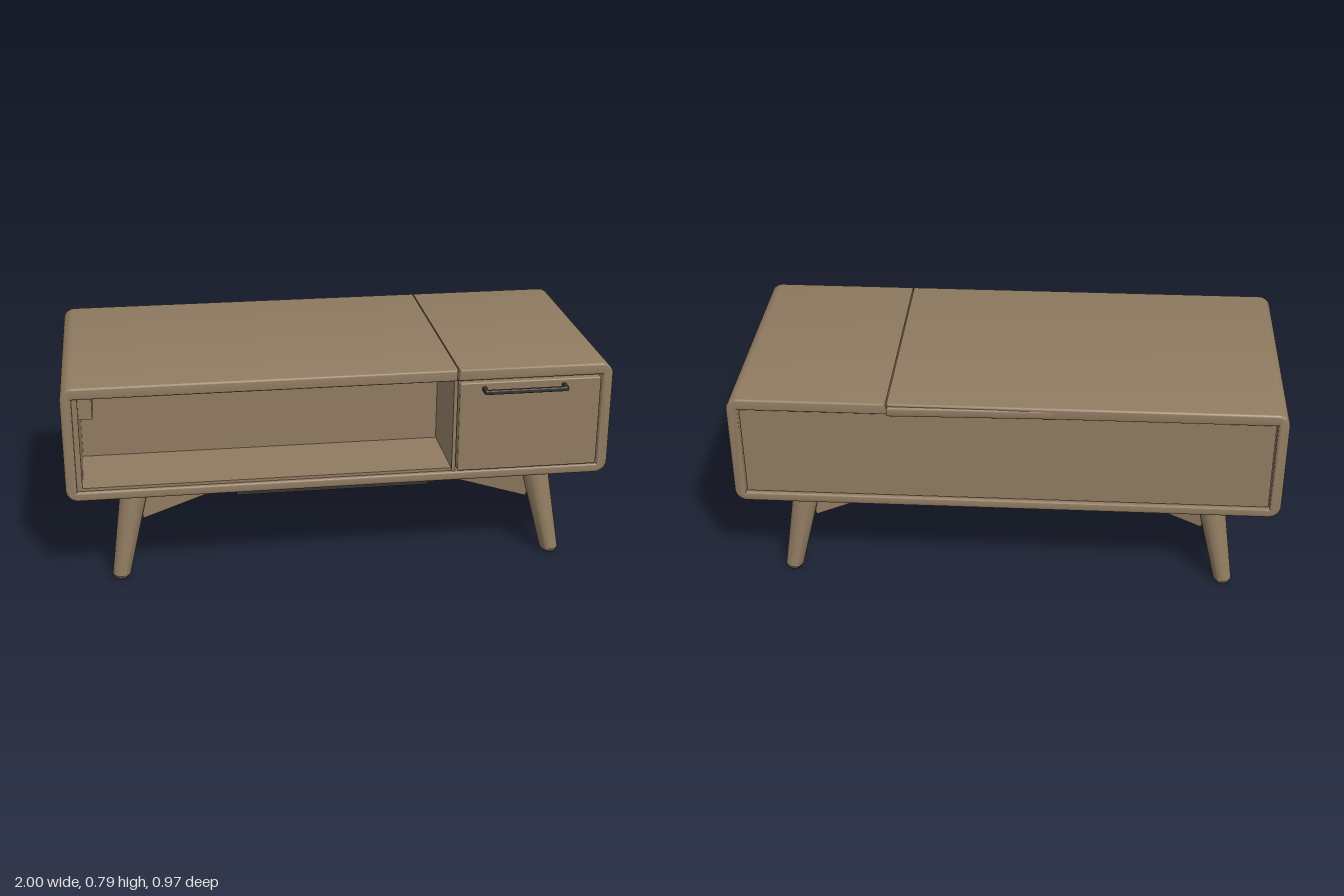
import * as THREE from 'three';
import { toCreasedNormals } from 'three/addons/utils/BufferGeometryUtils.js';
import { RoundedBoxGeometry } from 'three/addons/geometries/RoundedBoxGeometry.js';

const wood = new THREE.MeshStandardMaterial({ name: 'walnut wood', color: 0x8f7a60 });
const metal = new THREE.MeshStandardMaterial({ name: 'dark metal', color: 0x36342e });

export function createModel() {
  const table = new THREE.Group();
  table.name = 'coffeeTable';

  const add = (name, geometry, material = wood) => {
    const mesh = new THREE.Mesh(geometry, material);
    mesh.name = name;
    table.add(mesh);
    return mesh;
  };
  // Box given by its limits on each axis
  const box = (name, [x0, x1], [y0, y1], [z0, z1], material = wood, r = 0) => {
    const size = [x1 - x0, y1 - y0, z1 - z0];
    const geometry = r ? new RoundedBoxGeometry(...size, 2, r) : new THREE.BoxGeometry(...size);
    const mesh = add(name, geometry, material);
    mesh.position.set((x0 + x1) / 2, (y0 + y1) / 2, (z0 + z1) / 2);
    return mesh;
  };

  // Cabinet shell: a rounded ring, slit at the seam in the top
  const seam = 0.424, gap = 0.002, R = 0.045, top = 0.785, low = 0.35;
  const ring = new THREE.Shape();
  ring.moveTo(seam - gap, top);
  ring.lineTo(-1 + R, top);
  ring.absarc(-1 + R, top - R, R, Math.PI / 2, Math.PI, false);
  ring.absarc(-1 + R, low + R, R, Math.PI, Math.PI * 1.5, false);
  ring.absarc(1 - R, low + R, R, Math.PI * 1.5, Math.PI * 2, false);
  ring.absarc(1 - R, top - R, R, 0, Math.PI / 2, false);
  ring.lineTo(seam + gap, top);
  ring.lineTo(seam + gap, 0.741);
  ring.lineTo(0.96, 0.741);
  ring.lineTo(0.96, 0.384);
  ring.lineTo(-0.96, 0.384);
  ring.lineTo(-0.96, 0.741);
  ring.lineTo(seam - gap, 0.741);
  ring.closePath();
  const bevel = 0.008;
  const shell = new THREE.ExtrudeGeometry(ring, {
    depth: 0.905 - 2 * bevel, curveSegments: 8, bevelEnabled: true,
    bevelThickness: bevel, bevelSize: bevel, bevelOffset: -bevel, bevelSegments: 3,
  });
  shell.translate(0, 0, -0.475 + bevel);
  add('cabinetShell', toCreasedNormals(shell, 0.6));

  // Panels inside the shell
  box('backPanel', [-0.955, 0.955], [0.388, 0.738], [-0.462, -0.445]);
  box('shelfBack', [-0.96, 0.424], [0.384, 0.741], [0.11, 0.125]);
  box('shelfSide', [-0.962, -0.94], [0.384, 0.741], [-0.445, 0.415]);
  box('shelfFloor', [-0.94, 0.41], [0.38, 0.395], [-0.445, 0.415]);
  box('divider', [0.41, 0.424], [0.384, 0.743], [-0.445, 0.42]);
  box('liftBlock', [-0.94, -0.89], [0.655, 0.741], [0.22, 0.4]);

  // Lid edge slightly out of line at the back
  const wedge = new THREE.Shape([
    new THREE.Vector2(-0.16, 0.45), new THREE.Vector2(0.422, 0.45),
    new THREE.Vector2(0.422, 0.479), new THREE.Vector2(-0.16, 0.467),
  ]);
  const lidEdge = new THREE.ExtrudeGeometry(wedge, {
    depth: 0.02, bevelEnabled: true, bevelThickness: 0.008, bevelSize: 0.008, bevelSegments: 3,
  });
  lidEdge.rotateX(-Math.PI / 2);
  lidEdge.translate(-0.008, 0.7485, 0);
  add('lidBackEdge', toCreasedNormals(lidEdge, 0.6));

  // Drawer and its pull
  box('drawer', [0.428, 0.953], [0.391, 0.736], [-0.43, 0.439], wood, 0.005);
  box('handleBar', [0.51, 0.82], [0.705, 0.721], [0.471, 0.487], metal, 0.004);
  for (const x of [0.51, 0.806]) box('handlePost', [x, x + 0.014], [0.706, 0.72], [0.435, 0.48], metal);

  // Legs, cross arms and feet; the base sits a little behind the middle
  const baseZ = -0.022;
  const arm = new THREE.Shape([
    new THREE.Vector2(0, 0.297), new THREE.Vector2(0.1, 0.297), new THREE.Vector2(0.45, 0.262),
    new THREE.Vector2(0.8, 0.215), new THREE.Vector2(0.83, 0.35), new THREE.Vector2(0, 0.35),
  ]);
  for (const sx of [-1, 1]) {
    for (const sz of [-1, 1]) {
      // Tapered leg, splayed by a shear so that both ends stay level
      const leg = new THREE.LatheGeometry([
        [0, 0.006], [0.028, 0.006], [0.034, 0.014], [0.053, 0.36], [0, 0.36],
      ].map(([x, y]) => new THREE.Vector2(x, y)), 28);
      leg.applyMatrix4(new THREE.Matrix4().set(
        1, -sx * 0.19, 0, sx * 0.82,
        0, 1, 0, 0,
        0, -sz * 0.155, 1, sz * 0.376 + baseZ,
        0, 0, 0, 1));
      add('leg', toCreasedNormals(leg, 0.6));
      const foot = add('footPad', new THREE.CylinderGeometry(0.027, 0.027, 0.008, 24), metal);
      foot.position.set(sx * 0.82, 0.004, sz * 0.376 + baseZ);

      const brace = new THREE.ExtrudeGeometry(arm, { depth: 0.045, bevelEnabled: false });
      brace.translate(0, 0, -0.0225);
      brace.rotateY(-Math.atan2(sz * 0.325, sx * 0.757));
      brace.translate(0, 0, baseZ);
      add('crossArm', brace);
    }
    box('sideRail', [sx * 0.765 - 0.02, sx * 0.765 + 0.02], [0.32, 0.352], [-0.385, 0.345]);
  }
  box('crossHub', [-0.09, 0.09], [0.295, 0.35], [baseZ - 0.035, baseZ + 0.035]);

  // Metal strip under the front edge
  box('frontStrip', [-0.385, 0.33], [0.32, 0.351], [0.35, 0.385], metal);

  return table;
}
